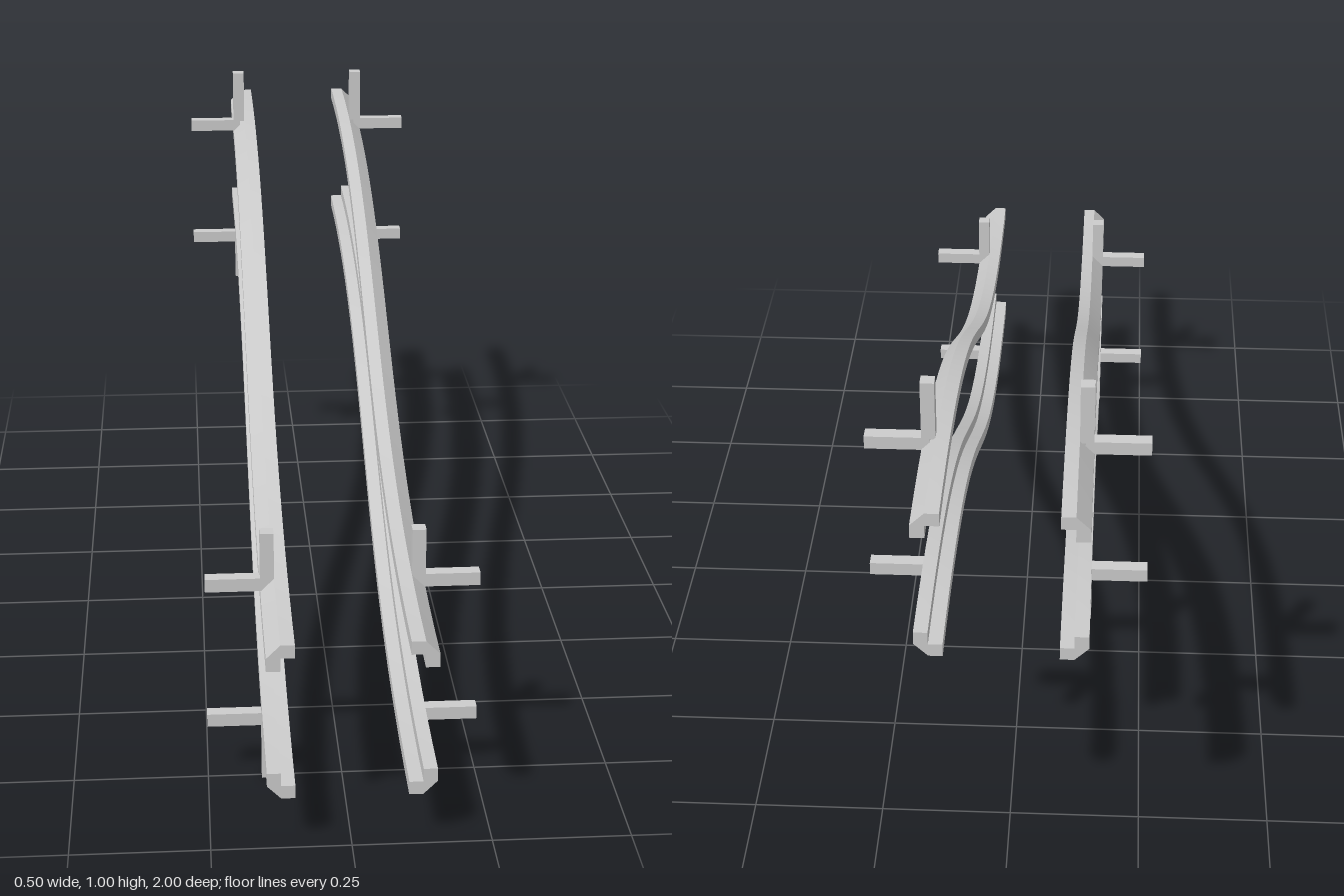
import * as THREE from 'three';
import { toCreasedNormals } from 'three/addons/utils/BufferGeometryUtils.js';

const STEPS = 32;
const MATERIAL = new THREE.MeshStandardMaterial({ color: 0xcccccc });

// S-shaped track line, from the low front end to the high back end
const path = new THREE.CubicBezierCurve3(
  new THREE.Vector3(0, 0.25, 1),
  new THREE.Vector3(0, 0.25, 0),
  new THREE.Vector3(0, 0.75, 0),
  new THREE.Vector3(0, 0.75, -1)
);

// Angle-iron section with a bevelled outer corner, relative to the track line
const SECTION = [
  [0.1, 0.15], [0.1, 0.125], [0.125, 0.125], [0.125, 0.1],
  [0.15, 0.1], [0.15, 0.125], [0.125, 0.15]
];

// One rail: extrude the section straight, then lift it onto the track line
function railGeometry(sx, sy) {
  const shape = new THREE.Shape(SECTION.map(([x, y]) => new THREE.Vector2(x * sx, y * sy)));
  const geo = new THREE.ExtrudeGeometry(shape, { depth: 1, steps: STEPS, bevelEnabled: false });
  const pos = geo.attributes.position;
  const p = new THREE.Vector3();
  for (let i = 0; i < pos.count; i++) {
    path.getPoint(1 - pos.getZ(i), p);
    pos.setY(i, pos.getY(i) + p.y);
    pos.setZ(i, p.z);
  }
  return toCreasedNormals(geo, 0.4);
}

function box(name, w, h, d, x, y, z) {
  const mesh = new THREE.Mesh(new THREE.BoxGeometry(w, h, d), MATERIAL);
  mesh.name = name;
  mesh.position.set(x, y, z);
  return mesh;
}

export function createModel() {
  const model = new THREE.Group();
  model.name = 'curvedRailGuide';

  for (const sx of [1, -1]) {
    for (const sy of [1, -1]) {
      const label = (sy > 0 ? 'upper' : 'lower') + (sx > 0 ? 'Left' : 'Right');

      const rail = new THREE.Mesh(railGeometry(sx, sy), MATERIAL);
      rail.name = label + 'Rail';
      model.add(rail);

      // Brackets: an upright post and a sideways arm near each end
      for (const sz of [1, -1]) {
        const mid = sz > 0 ? 0.25 : 0.75;
        const armY = mid + 0.012 * sz + 0.1375 * sy;
        const z = 0.75 * sz;
        const bracket = new THREE.Group();
        bracket.name = label + (sz > 0 ? 'Front' : 'Back') + 'Bracket';
        bracket.add(
          box('post', 0.025, 0.115, 0.025, 0.1375 * sx, mid + 0.1925 * sy, z),
          box('arm', 0.115, 0.025, 0.025, 0.1925 * sx, armY, z)
        );
        model.add(bracket);
      }
    }
  }
  return model;
}
